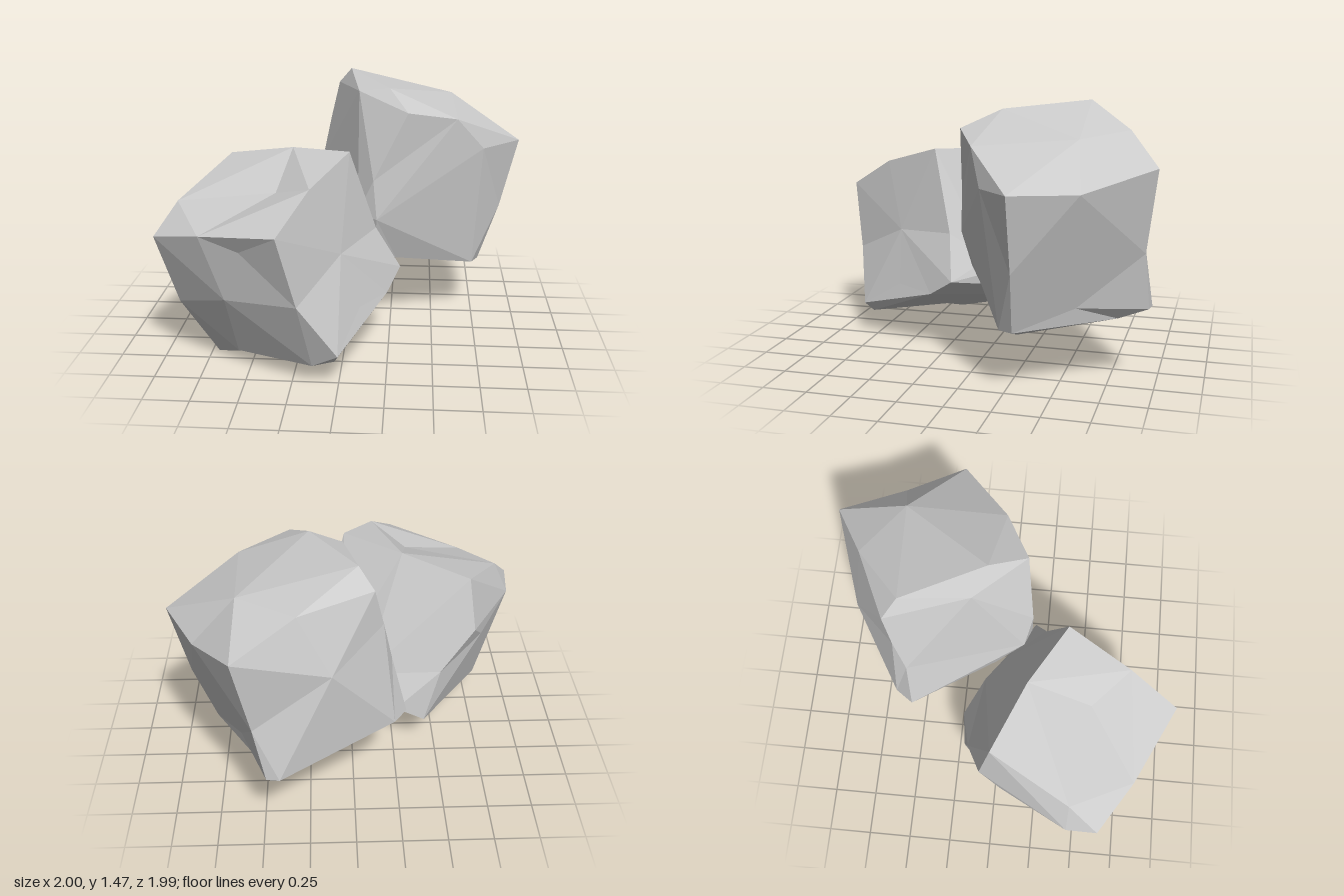
import * as THREE from 'three';
import { ConvexGeometry } from 'three/addons/geometries/ConvexGeometry.js';

// Corner points of the lower boulder
const lowerPoints = [
  // crown
  [-0.29, 0.89, 0.99], [-0.15, 1.06, 0.71], [0.03, 1.17, 0.35], [-0.3, 1.14, 0.15],
  [-0.68, 1.06, -0.02], [-0.9, 0.9, 0.43], [-1, 0.75, 0.6], [-0.72, 0.82, 0.78],
  [-0.5, 0.76, 0.84], [-0.35, 0.98, 0.51],
  // waist
  [-0.99, 0.7, 0.43], [-0.72, 0.75, -0.08], [-0.78, 0.64, 0.05], [-0.52, 0.52, -0.17],
  [-0.2, 0.5, 0.92], [-0.6, 0.46, 0.75], [0, 0.67, 0.58],
  [0.17, 0.7, 0.22], [0.31, 0.45, 0.17], [0.05, 0.54, 0.02], [-0.08, 0.47, -0.11],
  // base
  [-0.9, 0.34, 0.5], [-0.8, 0.16, 0.33], [-0.71, 0, 0.41], [-0.57, 0.08, 0.56],
  [-0.38, 0.11, 0.62], [-0.14, 0.11, 0.78], [-0.02, 0.14, 0.78], [0, 0.19, 0.83],
  [0.1, 0.36, 0.56], [0.24, 0.35, 0.32], [-0.26, 0.3, -0.23], [-0.43, 0.2, -0.21],
];

// Corner points of the upper boulder
const upperPoints = [
  // crown
  [-0.02, 1.47, -0.56], [0.23, 1.43, -0.11], [0.34, 1.33, 0.1], [0.62, 1.27, -0.04],
  [0.6, 1.32, -0.6], [0.29, 1.34, -0.82], [-0.1, 1.37, -0.64], [0.05, 1.4, -0.18],
  [0.61, 1.19, -1],
  // waist
  [0.78, 1.08, -0.13], [1, 1.09, -0.32], [0.83, 1.08, -0.65], [0.15, 0.95, 0.15],
  [0.17, 0.72, 0.15], [0.06, 0.75, 0.11], [-0.15, 1.15, -0.6], [-0.2, 0.9, -0.54],
  [0.12, 1, -0.85], [0.9, 0.68, -0.32], [0.53, 0.74, -0.94],
  // base
  [0.78, 0.34, -0.3], [0.7, 0.31, -0.31], [0.74, 0.34, -0.22], [0.28, 0.44, 0],
  [0.16, 0.52, 0.09], [0.03, 0.5, -0.05], [-0.29, 0.53, -0.53], [-0.22, 0.53, -0.63],
  [0.4, 0.43, -0.97], [0.47, 0.43, -0.96], [0.48, 0.37, -0.8], [0.62, 0.45, -0.6],
];

// Faceted stone: the points are swollen towards a sphere, wrapped in a hull
// and shrunk back, so that shallow dents stay part of the surface
function boulder(name, center, points) {
  const middle = new THREE.Vector3(...center);
  const swollen = points.map(p => {
    const offset = new THREE.Vector3(...p).sub(middle);
    return offset.setLength(Math.sqrt(offset.length()));
  });
  const geometry = new ConvexGeometry(swollen);
  const position = geometry.attributes.position;
  const corner = new THREE.Vector3();
  for (let i = 0; i < position.count; i++) {
    corner.fromBufferAttribute(position, i);
    corner.setLength(corner.lengthSq()).add(middle);
    position.setXYZ(i, corner.x, corner.y, corner.z);
  }
  geometry.computeVertexNormals();
  const material = new THREE.MeshStandardMaterial({ color: 0xcccccc, flatShading: true });
  const mesh = new THREE.Mesh(geometry, material);
  mesh.name = name;
  return mesh;
}

export function createModel() {
  const group = new THREE.Group();
  group.name = 'boulders';
  group.add(
    boulder('lowerBoulder', [-0.35, 0.58, 0.4], lowerPoints),
    boulder('upperBoulder', [0.32, 0.88, -0.43], upperPoints),
  );
  return group;
}
